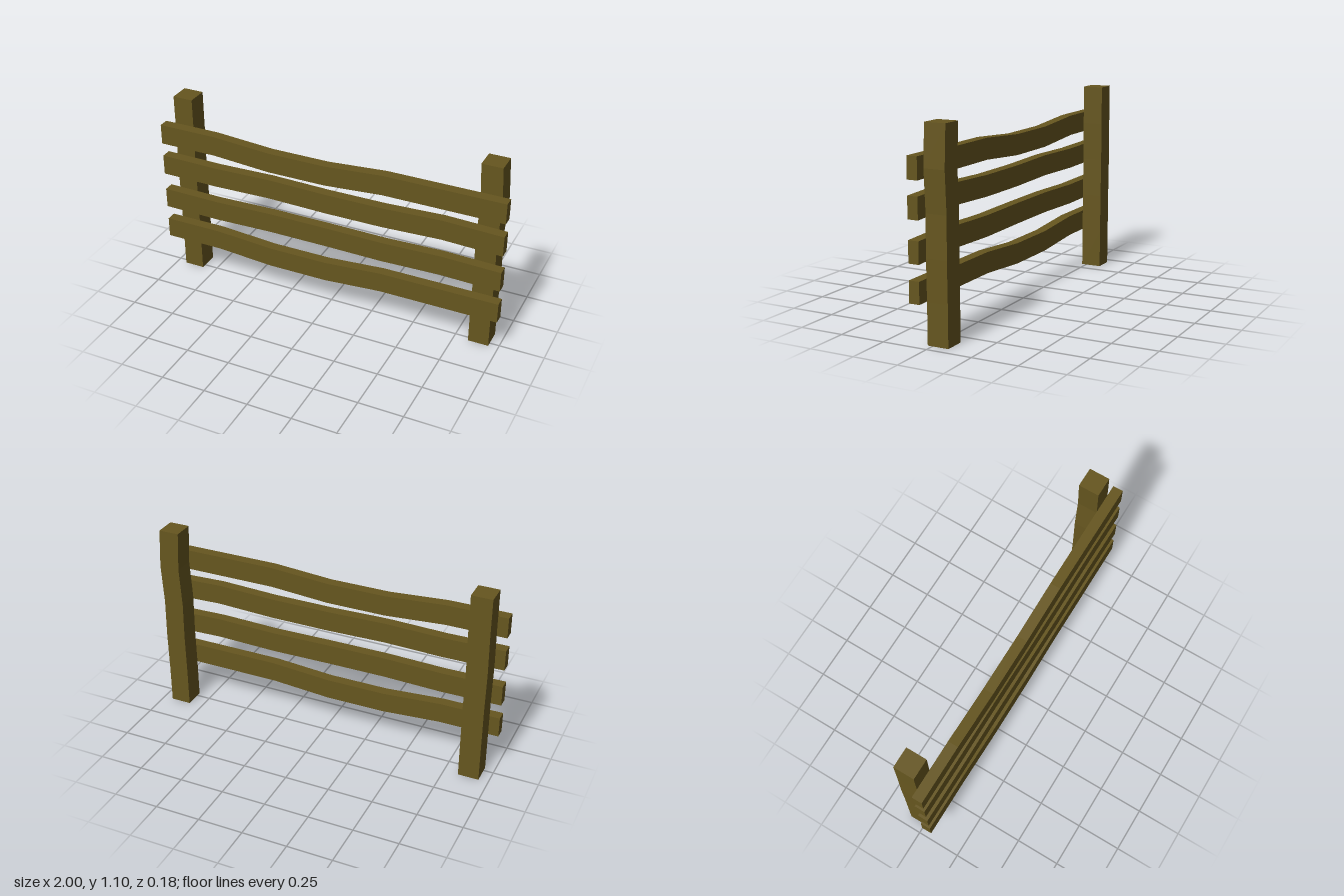
import * as THREE from 'three';

const wood = new THREE.MeshStandardMaterial({ color: 0x66561f });
wood.name = 'oliveWood';
wood.flatShading = true;

// Shift each ring of vertices along a beam by the offset listed for that ring
function bend(geometry, along, length, across, offsets) {
  const p = geometry.attributes.position;
  const last = offsets.length - 1;
  for (let i = 0; i < p.count; i++) {
    const ring = Math.round((p.getComponent(i, along) / length + 0.5) * last);
    p.setComponent(i, across, p.getComponent(i, across) + offsets[ring]);
  }
  geometry.computeVertexNormals();
  return geometry;
}

export function createModel() {
  const group = new THREE.Group();
  group.name = 'fence';

  const add = (name, geometry, x, y, z) => {
    const mesh = new THREE.Mesh(geometry, wood);
    mesh.name = name;
    mesh.position.set(x, y, z);
    group.add(mesh);
  };

  // Upright posts: offsets run from the foot to the top
  const postHeight = 1.095;
  const posts = [
    ['rightPost', -0.888, [0, 0, 0, -0.003, 0, 0]],
    ['leftPost', 0.888, [0, 0, 0.003, 0, 0.012, 0]],
  ];
  for (const [name, x, offsets] of posts) {
    const geometry = new THREE.BoxGeometry(0.115, postHeight, 0.117, 1, 5, 1);
    add(name, bend(geometry, 1, postHeight, 0, offsets), x, postHeight / 2, -0.032);
  }

  // Wavy rails: offsets run from -x to +x
  const sag = [0, 0, -0.024, -0.024, 0, 0, 0];
  const rails = [
    ['bottomRail', 0.275, sag],
    ['lowerMiddleRail', 0.473, [0, -0.004, 0.005, 0.004, 0, 0.009, 0]],
    ['upperMiddleRail', 0.689, [0, -0.004, 0.004, -0.003, -0.002, 0.011, 0]],
    ['topRail', 0.881, sag],
  ];
  for (const [name, y, offsets] of rails) {
    const geometry = new THREE.BoxGeometry(2, 0.115, 0.058, 6, 1, 1);
    add(name, bend(geometry, 0, 2, 1, offsets), 0, y, 0.064);
  }
  return group;
}
